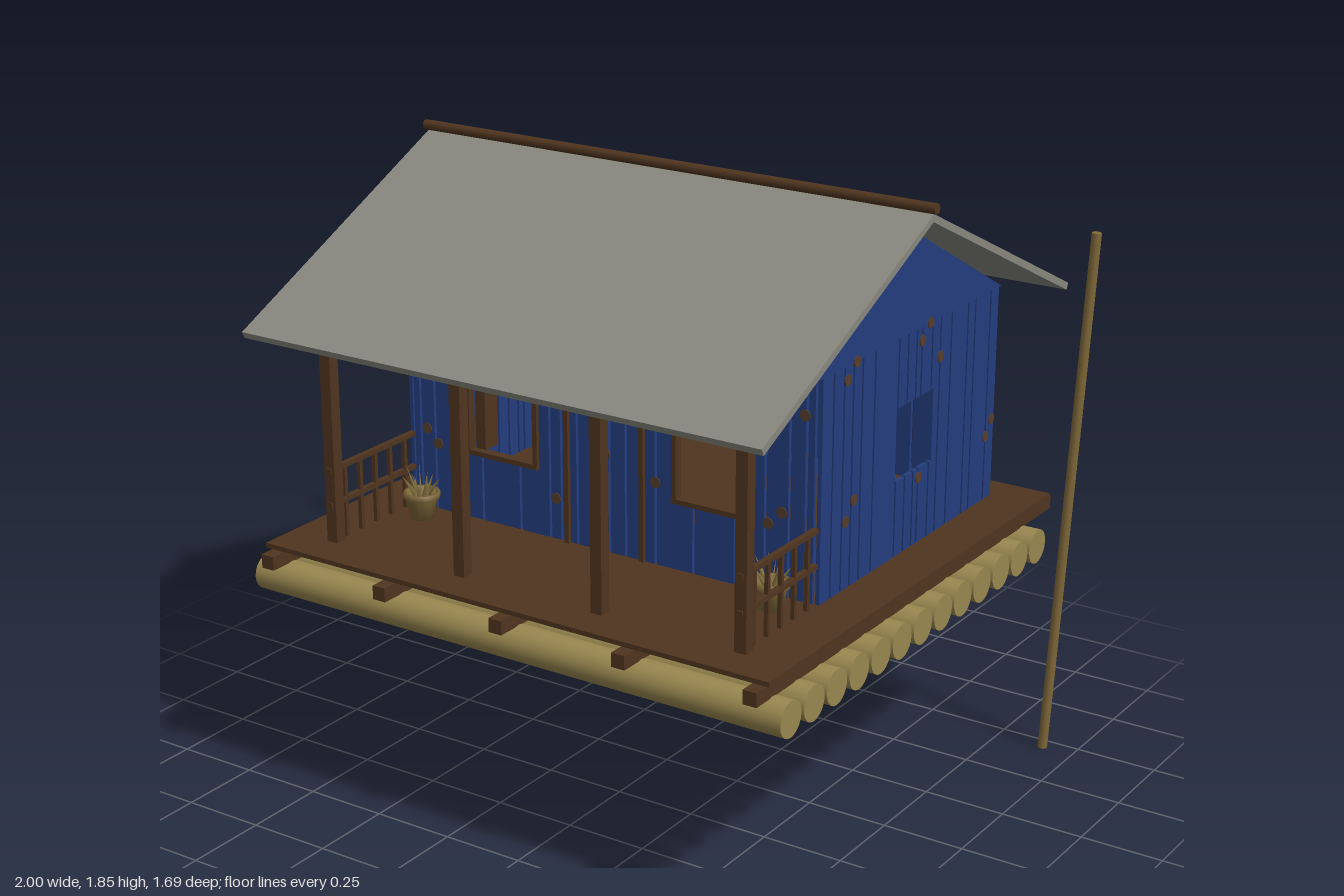
import * as THREE from 'three';

const mat = (name, color) => {
  const m = new THREE.MeshStandardMaterial({ color });
  m.name = name;
  return m;
};

export function createModel() {
  const blue = mat('blue paint', 0x233d7e);
  const brown = mat('dark wood', 0x50351f);
  const rust = mat('knot brown', 0x573d2a);
  const logMat = mat('log wood', 0x9a8850);
  const poleMat = mat('pole wood', 0x80693a);
  const grey = mat('roof grey', 0x888880);
  const leafMat = mat('dry leaf', 0x857340);
  leafMat.side = THREE.DoubleSide;

  const root = new THREE.Group();
  root.name = 'raftHouse';
  const group = (name) => {
    const g = new THREE.Group();
    g.name = name;
    root.add(g);
    return g;
  };
  const add = (parent, name, geo, material, x = 0, y = 0, z = 0) => {
    const m = new THREE.Mesh(geo, material);
    m.name = name;
    m.position.set(x, y, z);
    parent.add(m);
    return m;
  };
  // Box given by its two extreme corners
  const box = (parent, name, material, x0, x1, y0, y1, z0, z1) =>
    add(parent, name, new THREE.BoxGeometry(x1 - x0, y1 - y0, z1 - z0), material,
      (x0 + x1) / 2, (y0 + y1) / 2, (z0 + z1) / 2);
  // Cross-section of [z, y] points, extruded along x and centred on x
  const sectionX = (points, length) => {
    const shape = new THREE.Shape(points.map(([z, y]) => new THREE.Vector2(z, y)));
    return new THREE.ExtrudeGeometry(shape, { depth: length, bevelEnabled: false })
      .rotateY(-Math.PI / 2).translate(length / 2, 0, 0);
  };

  // Raft: logs, cross beams and deck
  const raft = group('raft');
  for (let i = 0; i < 13; i++) {
    const geo = new THREE.CylinderGeometry(0.052, 0.052, 1.76, 20).rotateZ(Math.PI / 2);
    add(raft, 'log', geo, logMat, 0, 0.676, 0.75 - i * 0.116);
  }
  for (const x of [-0.805, -0.4, 0, 0.4, 0.805])
    box(raft, 'beam', brown, x - 0.021, x + 0.021, 0.725, 0.766, -0.83, 0.83);
  box(raft, 'deck', brown, -0.84, 0.84, 0.772, 0.786, -0.794, 0.794);

  // Mooring poles leaning outwards
  for (const s of [-1, 1]) {
    const pole = add(root, 'mooringPole', new THREE.CylinderGeometry(0.0145, 0.0145, 1.632, 10),
      poleMat, s * 0.943, 0.817, -0.705);
    pole.rotation.z = -s * Math.atan2(0.082, 1.63);
  }

  // Plank walls with narrow gaps, cut around rectangular openings [a, b, y0, y1]
  const BASE = 0.786, TOP = 1.43, T = 0.012, GAP = 0.004;
  function plankWall(name, cuts, holes, put) {
    const g = group(name);
    for (let i = 0; i + 1 < cuts.length; i++) {
      const lo = cuts[i] + GAP, hi = cuts[i + 1] - GAP;
      const stops = [lo, ...holes.flatMap((h) => [h[0], h[1]]).filter((v) => v > lo && v < hi), hi]
        .sort((a, b) => a - b);
      for (let k = 0; k + 1 < stops.length; k++) {
        const a = stops[k], b = stops[k + 1], mid = (a + b) / 2;
        const h = holes.find((o) => mid > o[0] && mid < o[1]);
        const spans = h ? [[BASE, h[2]], [h[3], TOP]] : [[BASE, TOP]];
        for (const [y0, y1] of spans) put(g, a, b, y0, y1);
      }
    }
  }
  const half = [0.68, 0.652, 0.6, 0.525, 0.43, 0.295, 0.19, 0.15];
  const acrossCuts = [...half.map((v) => -v), -0.095, -0.03, 0.015, 0.07, 0.17, ...half.slice(0, 6).reverse()];
  const sideCuts = [-0.69, -0.637, -0.544, -0.5, -0.402, -0.338, -0.29, -0.23, -0.2, -0.152, -0.1,
    0.03, 0.098, 0.147, 0.195, 0.25, 0.31];
  plankWall('frontWall', acrossCuts, [[-0.47, -0.23, 0.995, 1.24], [0.23, 0.47, 0.995, 1.24]],
    (g, a, b, y0, y1) => box(g, 'plank', blue, a, b, y0, y1, 0.31 - T, 0.31));
  plankWall('backWall', acrossCuts, [],
    (g, a, b, y0, y1) => box(g, 'plank', blue, a, b, y0, y1, -0.69, -0.69 + T));
  for (const s of [-1, 1])
    plankWall(s > 0 ? 'leftWall' : 'rightWall', sideCuts, [[-0.305, -0.1, 1.012, 1.228]],
      (g, a, b, y0, y1) => box(g, 'plank', blue, s * 0.69 - T / 2, s * 0.69 + T / 2, y0, y1, a, b));

  // Gables
  for (const s of [-1, 1])
    add(root, 'gable', sectionX([[-0.7, TOP], [0.7, TOP], [0, 1.805]], T), blue, s * 0.69);

  // Roof slabs and ridge pole
  add(root, 'roof', sectionX([[0, 1.825], [-0.843, 1.427], [-0.834, 1.408], [0, 1.803],
    [0.834, 1.408], [0.843, 1.427]], 1.68), grey);
  add(root, 'ridgePole', new THREE.CylinderGeometry(0.015, 0.015, 1.7, 10).rotateZ(Math.PI / 2),
    brown, 0, 1.84, 0);

  // Porch posts and side railings
  const porch = group('porch');
  for (const x of [-0.685, -0.231, 0.231, 0.685])
    box(porch, 'post', brown, x - 0.018, x + 0.018, BASE, 1.48, 0.65, 0.686);
  for (const s of [-1, 1]) {
    const x = s * 0.685;
    for (const y of [0.9, 1.003])
      box(porch, 'rail', brown, x - 0.008, x + 0.008, y - 0.007, y + 0.007, 0.31, 0.69);
    for (let i = 0; i < 5; i++) {
      const z = 0.622 - i * 0.067;
      box(porch, 'baluster', brown, x - 0.006, x + 0.006, BASE, 1.0, z - 0.006, z + 0.006);
    }
  }

  // Rectangular frame on the front wall, with optional sill
  function frame(name, x0, x1, y0, y1, w, sill) {
    const g = group(name);
    box(g, 'jamb', brown, x0, x0 + w, y0, y1, 0.295, 0.322);
    box(g, 'jamb', brown, x1 - w, x1, y0, y1, 0.295, 0.322);
    box(g, 'head', brown, x0, x1, y1 - w, y1, 0.294, 0.323);
    if (sill) box(g, 'sill', brown, x0, x1, y0, y0 + w, 0.294, 0.323);
    return g;
  }
  frame('doorFrame', -0.135, 0.135, 0.778, 1.31, 0.015, false);
  for (const s of [-1, 1]) {
    const c = s * 0.355;
    const g = frame('windowFrame', c - 0.127, c + 0.127, 0.985, 1.247, 0.015, true);
    // Shutter swung open into the room
    box(g, 'shutter', brown, s * 0.443 - 0.017, s * 0.443 + 0.017, 1.0, 1.235, 0.24, 0.3);
  }

  // Knots: thin discs on the planks
  const knots = group('knots');
  const knotGeo = new THREE.CylinderGeometry(0.017, 0.017, 0.004, 8).rotateX(Math.PI / 2);
  const frontKnots = [[-0.65, 1.32], [-0.63, 1.03], [-0.59, 0.99], [-0.17, 1.315], [-0.17, 0.91],
    [0.535, 1.39], [0.645, 1.32], [0.578, 1.03], [0.535, 0.99], [0.17, 1.03], [0, 1.08]];
  for (const [x, y] of frontKnots) {
    add(knots, 'knot', knotGeo, rust, x, y, 0.311);
    add(knots, 'knot', knotGeo, rust, x, y, -0.691);
  }
  const sideKnots = [[0.075, 1.72], [0.133, 1.43], [0.18, 1.39], [-0.275, 1.43], [-0.23, 1.39],
    [-0.338, 1.314], [0.133, 1.035], [0.176, 0.985], [-0.23, 0.985], [-0.67, 1.03], [-0.637, 0.985],
    [0.534, 1.447], [0.3, 1.485]];
  for (const s of [-1, 1])
    for (const [z, y] of sideKnots)
      add(knots, 'knot', knotGeo, rust, s * 0.697, y, z).rotation.y = Math.PI / 2;

  // Potted plants
  for (const s of [-1, 1]) {
    const plant = group('pottedPlant');
    plant.position.set(s * 0.595, BASE, 0.39);
    const pot = [[0, 0], [0.036, 0], [0.046, 0.062], [0.054, 0.062], [0.054, 0.08], [0.044, 0.08], [0.042, 0.07], [0, 0.07]];
    const potGeo = new THREE.LatheGeometry(pot.map(([r, y]) => new THREE.Vector2(r, y)), 14);
    add(plant, 'pot', potGeo, poleMat);
    for (let i = 0; i < 11; i++) {
      const len = 0.07 + 0.02 * ((i * 5) % 3) / 2;
      const geo = new THREE.ConeGeometry(0.009, len, 4).scale(1, 1, 0.4).translate(0, len / 2, 0);
      const leaf = add(plant, 'leaf', geo, leafMat, 0, 0.07, 0);
      leaf.rotation.set(0, i * 2.4, -0.15 - 0.6 * (i / 10), 'YXZ');
      leaf.translateX(0.014);
    }
  }
  return root;
}
